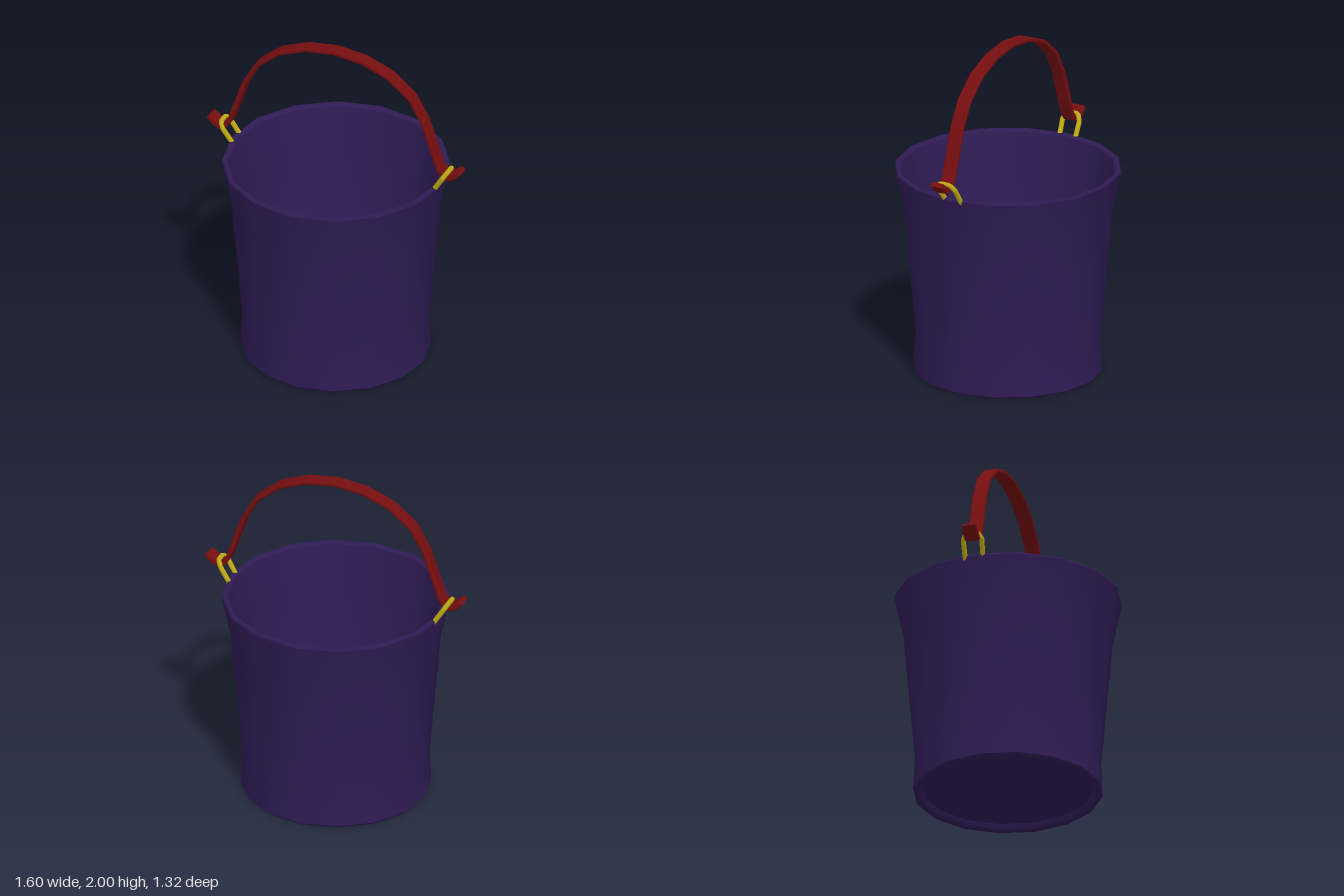
import * as THREE from 'three';
import { toCreasedNormals } from 'three/addons/utils/BufferGeometryUtils.js';

const v2 = ([x, y]) => new THREE.Vector2(x, y);

function part(name, geometry, color) {
  const mesh = new THREE.Mesh(geometry, new THREE.MeshStandardMaterial({ color }));
  mesh.name = name;
  return mesh;
}

// Closed pail wall: underside, outer wall, rim, inner wall, floor
function bucketGeometry() {
  const profile = [
    [0, 0.04], [0.5, 0.04], [0.51, 0.008], [0.52, 0], [0.54, 0], [0.55, 0.012],
    [0.54, 0.2], [0.605, 0.96], [0.66, 1.225], [0.655, 1.235], [0.632, 1.235], [0.622, 1.225],
    [0.575, 0.96], [0.465, 0.2], [0.375, 0.1], [0, 0.1],
  ].map(v2);
  return toCreasedNormals(new THREE.LatheGeometry(profile, 16), 0.6);
}

// Flat strap: a thickened polyline extruded across its width
function strapGeometry() {
  const half = [
    [0.18, 1.96, 0.014], [0.345, 1.895, 0.014], [0.48, 1.785, 0.014], [0.56, 1.645, 0.014],
    [0.61, 1.5, 0.014], [0.655, 1.365, 0.014], [0.685, 1.322, 0.016],
    [0.72, 1.31, 0.02], [0.755, 1.33, 0.02], [0.79, 1.362, 0.014],
  ];
  const line = [...half.map(([x, y, t]) => [-x, y, t]).reverse(), [0, 1.982, 0.014], ...half];
  const upper = [], lower = [];
  line.forEach(([x, y, t], i) => {
    const a = line[Math.max(i - 1, 0)], b = line[Math.min(i + 1, line.length - 1)];
    const n = new THREE.Vector2(a[1] - b[1], b[0] - a[0]).normalize().multiplyScalar(t);
    upper.push(new THREE.Vector2(x + n.x, y + n.y));
    lower.unshift(new THREE.Vector2(x - n.x, y - n.y));
  });
  const width = 0.086, bevel = 0.007;
  const g = new THREE.ExtrudeGeometry(new THREE.Shape([...upper, ...lower]), {
    depth: width - 2 * bevel, bevelThickness: bevel, bevelSize: bevel, bevelOffset: -bevel, bevelSegments: 1,
  });
  g.translate(0, 0, -width / 2 + bevel);
  return toCreasedNormals(g, 0.5);
}

// Bent wire loop, its two legs set into the rim
function loopGeometry(side) {
  const points = [
    [0.625, 1.205, 0.036], [0.69, 1.308, 0.05], [0.712, 1.342, 0.028],
    [0.712, 1.342, -0.04], [0.69, 1.308, -0.062], [0.625, 1.205, -0.068],
  ].map(([x, y, z]) => new THREE.Vector3(side * x, y, z));
  const path = new THREE.CurvePath();
  for (let i = 1; i < points.length; i++) path.add(new THREE.LineCurve3(points[i - 1], points[i]));
  return new THREE.TubeGeometry(path, 30, 0.015, 8);
}

export function createModel() {
  const group = new THREE.Group();
  group.name = 'bucket';
  group.add(part('pail', bucketGeometry(), 0x2f1b54));
  group.add(part('handleStrap', strapGeometry(), 0x760e10));
  group.add(part('leftHandleLoop', loopGeometry(1), 0xc0aa14));
  group.add(part('rightHandleLoop', loopGeometry(-1), 0xc0aa14));
  return group;
}
